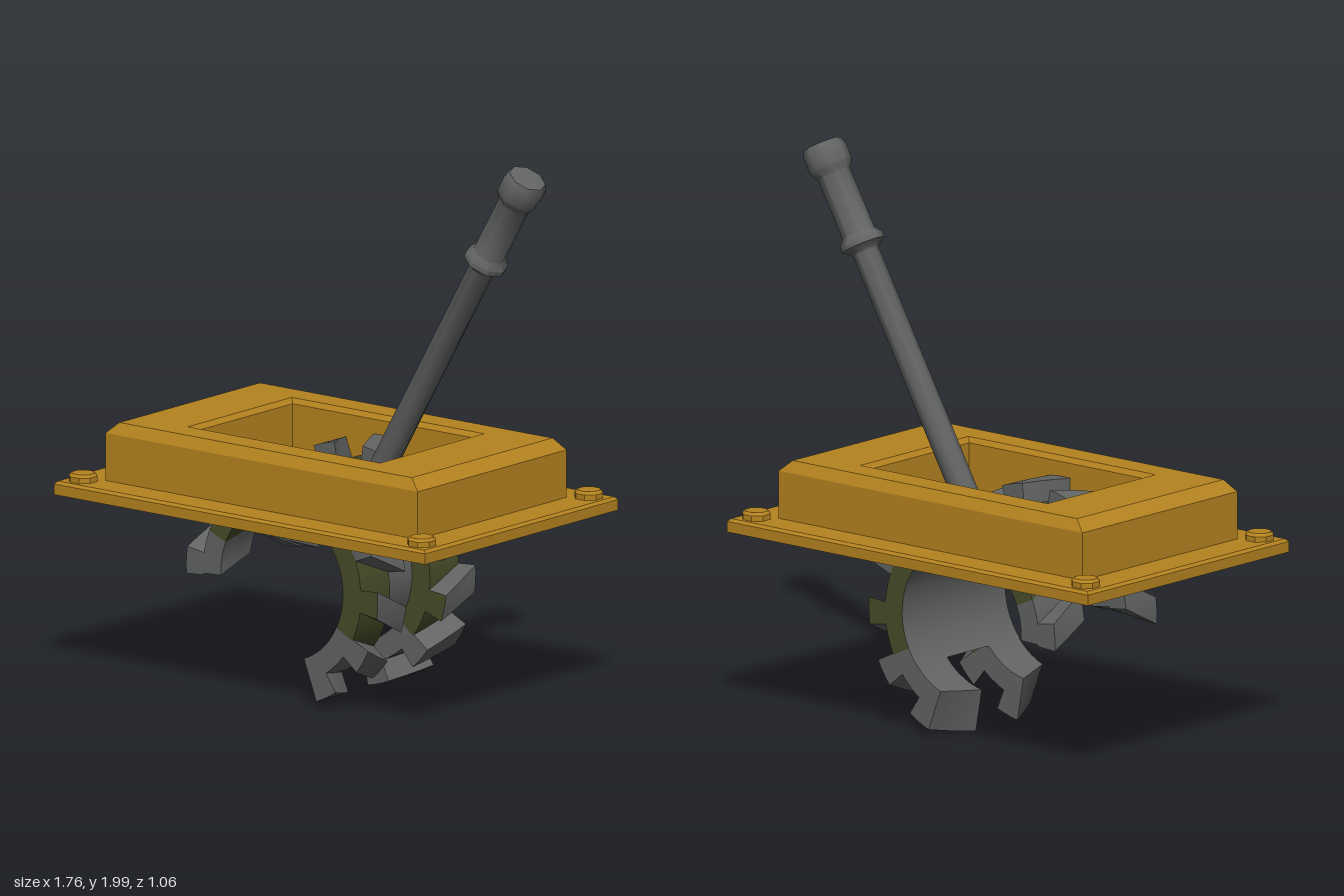
import * as THREE from 'three';
import { toCreasedNormals } from 'three/addons/utils/BufferGeometryUtils.js';

const ochre = new THREE.MeshStandardMaterial({ color: 0xb5831f });
ochre.name = 'ochre paint';
const steel = new THREE.MeshStandardMaterial({ color: 0x616463, side: THREE.DoubleSide });
steel.name = 'grey steel';
const olive = new THREE.MeshStandardMaterial({ color: 0x484c29 });
olive.name = 'olive grime';

const rad = THREE.MathUtils.degToRad;
const HUB = [-0.07, 0.43]; // axis of the toothed drum
const CENTRE_X = -0.0475; // middle of the housing

function add(parent, name, geometry, material) {
  const mesh = new THREE.Mesh(geometry, material);
  mesh.name = name;
  parent.add(mesh);
  return mesh;
}

// Skin stretched over nested rectangles given as [half x, half z, y]
function rectangleLoft(rings) {
  const corners = [[1, 1], [1, -1], [-1, -1], [-1, 1]];
  const pos = [];
  const point = ([hx, hz, y], i) => [hx * corners[i % 4][0], y, hz * corners[i % 4][1]];
  for (let r = 0; r < rings.length - 1; r++) {
    for (let i = 0; i < 4; i++) {
      const a = point(rings[r], i), b = point(rings[r + 1], i);
      const c = point(rings[r + 1], i + 1), d = point(rings[r], i + 1);
      if (rings[r + 1][0] > 0) pos.push(...a, ...b, ...c);
      if (rings[r][0] > 0) pos.push(...a, ...c, ...d);
    }
  }
  const geo = new THREE.BufferGeometry();
  geo.setAttribute('position', new THREE.Float32BufferAttribute(pos, 3));
  geo.computeVertexNormals();
  return geo;
}

// Ring sector, twisted so its outer face runs ahead of its inner face
function twistedSector(r0, r1, a0, a1, side) {
  const shape = new THREE.Shape();
  const n = Math.max(2, Math.ceil((a1 - a0) / 6));
  const at = (r, a) => [r * Math.cos(rad(a)), r * Math.sin(rad(a))];
  shape.moveTo(...at(r0, a0));
  for (let i = 0; i <= n; i++) shape.lineTo(...at(r1, a0 + (a1 - a0) * i / n));
  for (let i = n; i > 0; i--) shape.lineTo(...at(r0, a0 + (a1 - a0) * i / n));
  const depth = 0.16, twist = rad(11);
  const geo = new THREE.ExtrudeGeometry(shape, { depth, steps: 3, bevelEnabled: false });
  const p = geo.attributes.position;
  for (let i = 0; i < p.count; i++) {
    const x = p.getX(i), y = p.getY(i), z = p.getZ(i);
    const t = side > 0 ? z / depth : 1 - z / depth;
    const c = Math.cos(twist * t), s = Math.sin(twist * t);
    p.setXYZ(i, x * c - y * s, x * s + y * c, z + (side > 0 ? 0.11 : -0.27));
  }
  geo.computeVertexNormals();
  return toCreasedNormals(geo, 0.5);
}

export function createModel() {
  const model = new THREE.Group();
  model.name = 'leverUnit';

  // Housing: well floor, well walls, top, outer walls, flange, then the hollow underside
  add(model, 'housing', rectangleLoft([
    [0, 0, 0.72], [0.418, 0.272, 0.72], [0.418, 0.272, 0.912], [0.4325, 0.286, 0.93],
    [0.658, 0.387, 0.93], [0.7025, 0.41, 0.89], [0.7025, 0.41, 0.72],
    [0.825, 0.522, 0.72], [0.835, 0.532, 0.71], [0.835, 0.532, 0.672],
    [0.8, 0.497, 0.672], [0.8, 0.497, 0.7], [0.67, 0.385, 0.7],
    [0.67, 0.385, 0.89], [0.46, 0.305, 0.89], [0.46, 0.305, 0.7], [0, 0, 0.7],
  ]), ochre).position.x = CENTRE_X;

  // Corner bolts
  const bolt = toCreasedNormals(new THREE.LatheGeometry([
    [0, -0.03], [0.03, -0.03], [0.03, 0], [0.052, 0], [0.052, 0.021], [0.042, 0.031], [0, 0.031],
  ].map((q) => new THREE.Vector2(...q)), 8), 0.3);
  for (const sx of [-1, 1]) {
    for (const sz of [-1, 1]) {
      const mesh = add(model, 'cornerBolt', bolt, ochre);
      mesh.position.set(CENTRE_X + sx * 0.762, 0.718, sz * 0.46);
      mesh.rotation.y = Math.PI / 8;
    }
  }

  // Toothed drum: two helical rings joined by a thin sleeve
  const drum = new THREE.Group();
  drum.name = 'toothedDrum';
  drum.position.set(HUB[0], HUB[1], 0);
  model.add(drum);
  for (const side of [1, -1]) {
    add(drum, 'ringLowerEnd', twistedSector(0.275, 0.355, -80, -38, side), steel);
    add(drum, 'ringMiddle', twistedSector(0.275, 0.355, -38, 146, side), olive);
    add(drum, 'ringUpperEnd', twistedSector(0.275, 0.355, 146, 172, side), steel);
    for (let i = 0; i < 9; i++) {
      const start = -80 + i * 30;
      add(drum, 'tooth', twistedSector(0.353, 0.431, start, start + 13, side),
        i === 2 ? [olive, steel] : steel);
    }
  }
  // Sleeve lining the rings
  const sleeve = new THREE.CylinderGeometry(0.274, 0.274, 0.545, 32, 1, true, rad(-50), rad(181));
  sleeve.rotateX(Math.PI / 2);
  sleeve.rotateZ(rad(0));
  add(drum, 'sleeve', sleeve, steel).rotation.z = sleeveTurn(sleeve, -41);

  // Lever with collar, grip and knob, measured outward from the drum axis
  const profile = [
    [0.048, 0.26], [0.048, 1.36], [0.056, 1.37], [0.08, 1.385], [0.08, 1.405], [0.06, 1.43],
    [0.06, 1.655], [0.075, 1.675], [0.079, 1.69], [0.079, 1.745], [0.068, 1.768], [0, 1.775],
  ].map((q) => new THREE.Vector2(...q));
  const lever = add(model, 'lever', toCreasedNormals(new THREE.LatheGeometry(profile, 8), 0.9), steel);
  lever.position.set(HUB[0], HUB[1], 0);
  lever.rotation.z = rad(-30);

  return model;
}

// Turn that brings the middle of an open arc to the wanted span, starting at startAngle
function sleeveTurn(geo, startAngle) {
  const p = geo.attributes.position;
  const angles = [0, 32].map((i) => Math.atan2(p.getY(i), p.getX(i)));
  const mid = Math.atan2(p.getY(16), p.getX(16));
  const ccw = Math.sin(mid - angles[0]) > 0;
  return rad(startAngle) - (ccw ? angles[0] : angles[1]);
}
